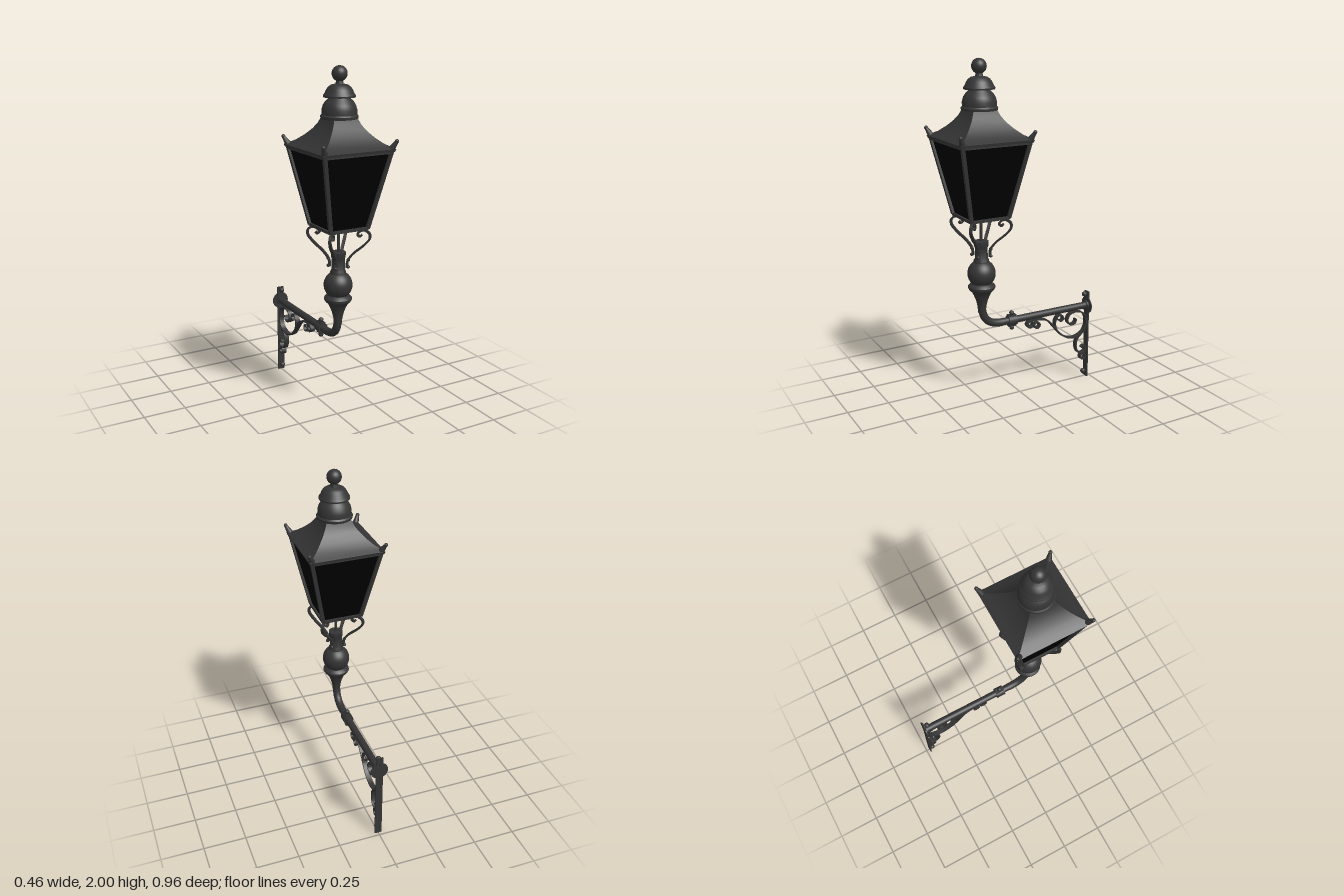
import * as THREE from 'three';
import { toCreasedNormals } from 'three/addons/utils/BufferGeometryUtils.js';

const iron = new THREE.MeshStandardMaterial({ color: 0x343434 });
iron.name = 'dark iron';
const glass = new THREE.MeshStandardMaterial({ color: 0x000000, side: THREE.DoubleSide });
glass.name = 'black glass';

const v3 = (x, y, z) => new THREE.Vector3(x, y, z);

function add(parent, name, geometry, material = iron, x = 0, y = 0, z = 0) {
  const mesh = new THREE.Mesh(geometry, material);
  mesh.name = name;
  mesh.position.set(x, y, z);
  parent.add(mesh);
  return mesh;
}

// Turned part from [radius, height] pairs, bottom to top
function turned(points, segments = 32, phi = 0) {
  const profile = points.map(([r, y]) => new THREE.Vector2(r, y));
  return toCreasedNormals(new THREE.LatheGeometry(profile, segments, phi), 0.6);
}

// Flat iron strip bent along [z, y] points
function strip(points, width, thickness, steps, closed = false) {
  const path = new THREE.CatmullRomCurve3(points.map(([z, y]) => v3(0, y, z)), closed);
  const w = width / 2, t = thickness / 2;
  const section = new THREE.Shape([[-w, -t], [w, -t], [w, t], [-w, t]].map(([x, y]) => new THREE.Vector2(x, y)));
  const geometry = new THREE.ExtrudeGeometry(section, { steps, extrudePath: path, bevelEnabled: false });
  return toCreasedNormals(geometry, 0.6);
}

// Straight square bar between two points, in the parent's own space
function bar(parent, name, a, b, size) {
  const mesh = add(parent, name, new THREE.BoxGeometry(size, a.distanceTo(b), size));
  mesh.position.copy(a).lerp(b, 0.5);
  mesh.quaternion.setFromUnitVectors(v3(0, 1, 0), b.clone().sub(a).normalize());
}

function createLantern() {
  const g = new THREE.Group();
  g.name = 'lantern';
  const top = 0.205, bottom = 0.115, yTop = 1.565, yBottom = 1.135;

  // Square flared roof
  const roof = [[0, 1.56], [0.215, 1.56], [0.219, 1.574], [0.205, 1.582], [0.17, 1.602], [0.135, 1.632],
    [0.105, 1.665], [0.085, 1.695], [0.07, 1.73], [0, 1.73]].map(([r, y]) => [r * Math.SQRT2, y]);
  add(g, 'roof', turned(roof, 4, Math.PI / 4));

  // Stacked chimney caps and finial
  add(g, 'chimney', turned([[0.06, 1.724], [0.1, 1.724], [0.102, 1.738], [0.095, 1.746], [0.095, 1.77],
    [0.088, 1.795], [0.075, 1.815], [0.06, 1.828], [0.055, 1.836], [0.086, 1.836], [0.087, 1.845], [0.079, 1.856],
    [0.07, 1.876], [0.06, 1.89], [0.045, 1.9], [0.022, 1.905], [0.017, 1.925], [0.02, 1.935]]));
  add(g, 'finial', new THREE.SphereGeometry(0.042, 32, 20), iron, 0, 1.958);

  // Panes, corner bars, rails, horns and scroll brackets on four sides
  for (let i = 0; i < 4; i++) {
    const side = new THREE.Group();
    side.name = 'lanternSide';
    side.rotation.y = i * Math.PI / 2;
    g.add(side);

    const pane = new THREE.Shape([[-bottom, yBottom], [bottom, yBottom], [top, yTop], [-top, yTop]]
      .map(([x, y]) => new THREE.Vector2(x, y)));
    const paneGeometry = new THREE.ShapeGeometry(pane);
    const p = paneGeometry.attributes.position;
    for (let k = 0; k < p.count; k++) p.setZ(k, p.getY(k) > 1.3 ? top - 0.006 : bottom - 0.006);
    paneGeometry.computeVertexNormals();
    add(side, 'pane', paneGeometry, glass);

    bar(side, 'cornerBar', v3(bottom, yBottom, bottom), v3(top - 0.003, yTop, top - 0.003), 0.02);
    bar(side, 'bottomRail', v3(-bottom, yBottom, bottom), v3(bottom, yBottom, bottom), 0.016);
    bar(side, 'topRail', v3(-top, 1.556, top - 0.004), v3(top, 1.556, top - 0.004), 0.014);

    const horn = new THREE.Group();
    horn.name = 'horn';
    horn.rotation.y = Math.PI / 4;
    side.add(horn);
    const spike = add(horn, 'hornSpike', new THREE.CylinderGeometry(0.009, 0.02, 0.06, 12), iron, 0, 1.592, 0.296);
    spike.rotation.x = 0.6;
    add(horn, 'hornTip', new THREE.SphereGeometry(0.011, 12, 8), iron, 0, 1.616, 0.312);

    const scroll = [[0.04, 0.9], [0.042, 0.94], [0.065, 0.985], [0.105, 1.035], [0.128, 1.075], [0.128, 1.103],
      [0.108, 1.122], [0.088, 1.112], [0.08, 1.095], [0.09, 1.085], [0.097, 1.095]];
    const bracket = add(side, 'scrollBracket', strip(scroll.map(([r, y]) => [r * Math.SQRT2 - 0.006, y]), 0.016, 0.012, 60));
    bracket.rotation.y = Math.PI / 4;
    for (const y of [0.905, 0.945]) {
      add(side, 'bracketBolt', new THREE.SphereGeometry(0.01, 10, 8), iron, 0.04, y, 0.04);
    }
  }
  add(g, 'lanternFloor', new THREE.BoxGeometry(bottom * 2, 0.006, bottom * 2), glass, 0, yBottom);
  add(g, 'gasPipe', new THREE.CylinderGeometry(0.008, 0.008, 0.16, 12), iron, 0, 1.06);
  return g;
}

function createColumn() {
  const g = new THREE.Group();
  g.name = 'column';
  // Flared cup, collar and neck
  add(g, 'cup', turned([[0.022, 0.56], [0.026, 0.6], [0.034, 0.635], [0.047, 0.668], [0.058, 0.688], [0.071, 0.7],
    [0.078, 0.712], [0.078, 0.722], [0.07, 0.731], [0.06, 0.738], [0.055, 0.76]]));
  add(g, 'ball', new THREE.SphereGeometry(0.081, 32, 24), iron, 0, 0.797);
  add(g, 'neck', turned([[0.045, 0.86], [0.044, 0.876], [0.037, 0.888], [0.036, 0.95], [0.041, 0.96], [0.042, 0.988], [0, 0.99]]));
  return g;
}

function createArm() {
  const g = new THREE.Group();
  g.name = 'wallArm';
  const y = 0.475;
  const elbow = new THREE.QuadraticBezierCurve3(v3(0, 0.6, 0.25), v3(0, y, 0.25), v3(0, y, 0.12));
  add(g, 'elbow', new THREE.TubeGeometry(elbow, 24, 0.023, 20));
  const rod = (name, r, z0, z1) => {
    add(g, name, new THREE.CylinderGeometry(r, r, z1 - z0, 24), iron, 0, y, (z0 + z1) / 2).rotation.x = Math.PI / 2;
  };
  rod('armPipe', 0.021, -0.475, 0.125);
  rod('jointCollar', 0.031, 0.028, 0.082);
  rod('wallCollar', 0.029, -0.476, -0.462);
  rod('wallDisc', 0.052, -0.48, -0.474);
  // Clamp bolts above and below the joint
  for (const s of [-1, 1]) {
    add(g, 'clampBolt', new THREE.CylinderGeometry(0.009, 0.009, 0.03, 10), iron, 0, y + s * 0.035, 0.055);
    add(g, 'clampKnob', new THREE.SphereGeometry(0.015, 14, 10), iron, 0, y + s * 0.045, 0.055);
    add(g, 'clampLug', new THREE.BoxGeometry(0.03, 0.012, 0.05), iron, 0, y + s * 0.029, 0.055);
  }

  // Wall strap with its round-headed bolts
  add(g, 'wallStrap', new THREE.BoxGeometry(0.042, 0.565, 0.008), iron, 0, 0.2825, -0.476);
  for (const by of [0.035, 0.548]) {
    add(g, 'wallBolt', new THREE.SphereGeometry(0.016, 16, 12), iron, 0, by, -0.457);
    add(g, 'wallBoltStem', new THREE.CylinderGeometry(0.009, 0.009, 0.02, 10), iron, 0, by, -0.468).rotation.x = Math.PI / 2;
  }

  // Scrollwork under the arm
  const main = [[-0.082, 0.41], [-0.061, 0.406], [-0.046, 0.427], [-0.066, 0.448], [-0.124, 0.448], [-0.188, 0.427],
    [-0.241, 0.368], [-0.294, 0.31], [-0.368, 0.28], [-0.442, 0.305], [-0.467, 0.363], [-0.452, 0.421], [-0.4, 0.447],
    [-0.347, 0.437], [-0.33, 0.4], [-0.352, 0.37], [-0.384, 0.375], [-0.394, 0.4]];
  const inner = [[-0.294, 0.31], [-0.251, 0.358], [-0.241, 0.405], [-0.262, 0.442], [-0.288, 0.442], [-0.299, 0.421],
    [-0.283, 0.405], [-0.267, 0.416]];
  const lower = [[-0.436, 0.299], [-0.405, 0.268], [-0.394, 0.22], [-0.415, 0.172], [-0.452, 0.167], [-0.469, 0.188],
    [-0.458, 0.209], [-0.437, 0.199]];
  add(g, 'mainScroll', strip(main, 0.03, 0.009, 140));
  add(g, 'innerScroll', strip(inner, 0.03, 0.009, 60));
  add(g, 'lowerScroll', strip(lower, 0.03, 0.009, 60));
  for (const [cz, cy] of [[-0.114, 0.412], [-0.448, 0.14], [-0.068, 0.428]]) {
    const ring = [];
    for (let i = 0; i < 12; i++) ring.push([cz + 0.019 * Math.cos(i * Math.PI / 6), cy + 0.019 * Math.sin(i * Math.PI / 6)]);
    add(g, 'scrollRing', strip(ring, 0.03, 0.008, 28, true));
  }
  return g;
}

export function createModel() {
  const model = new THREE.Group();
  model.name = 'wallLantern';
  const lantern = createLantern();
  const column = createColumn();
  lantern.position.z = column.position.z = 0.25;
  model.add(lantern, column, createArm());
  return model;
}
